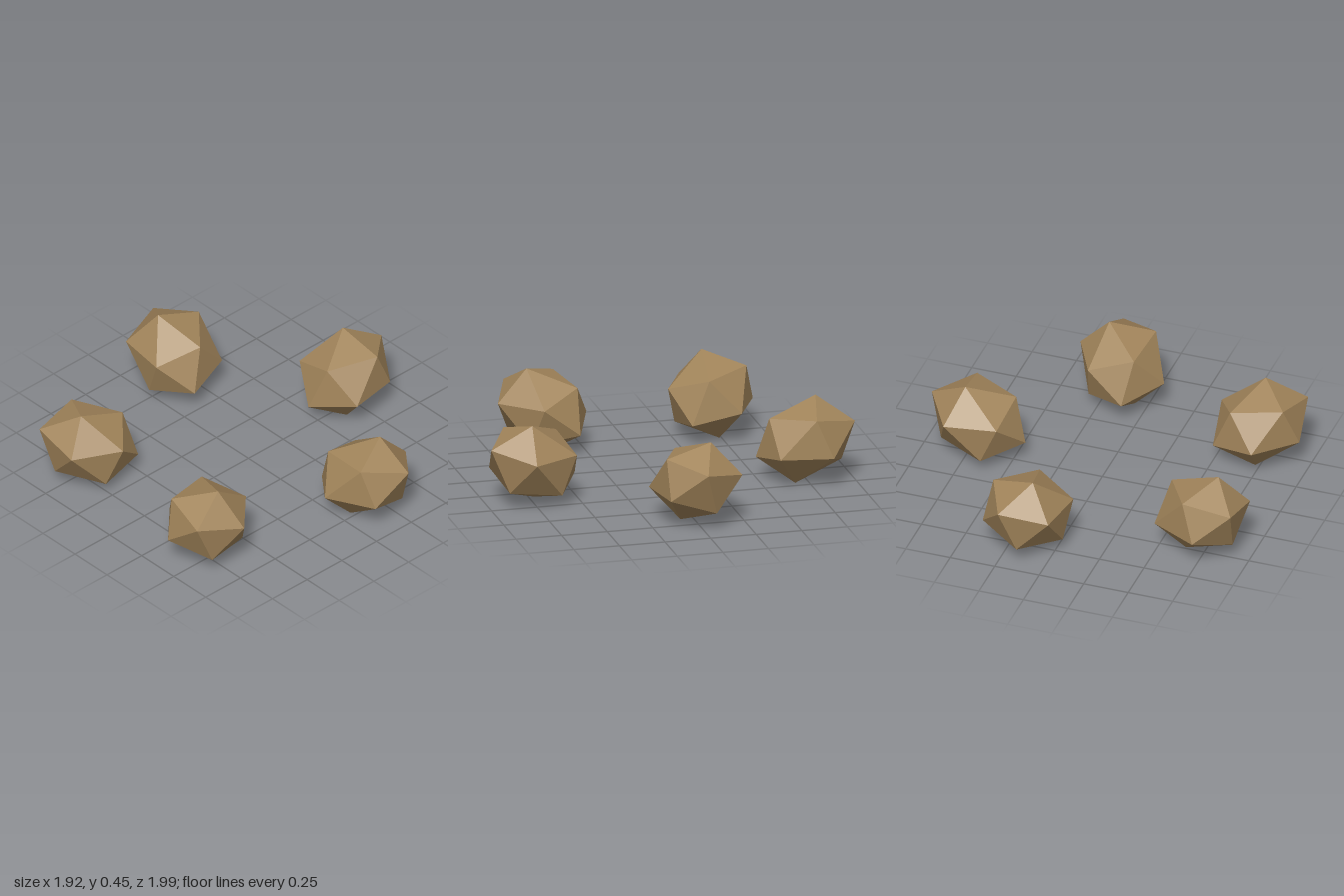
import * as THREE from 'three';
import { ConvexGeometry } from 'three/addons/geometries/ConvexGeometry.js';

const ROCK_COUNT = 5;
const RING_RADIUS = 0.785;
const RING_X = -0.09;
const HALF_HEIGHT = 0.224;

// A tilted, slightly stretched icosahedron, given by its six half-diagonals
const HALF_DIAGONALS = [
  [0.05, HALF_HEIGHT, -0.07],
  [-0.188, 0.129, 0.066],
  [0.071, 0.155, 0.177],
  [0.263, 0.105, 0],
  [-0.119, -0.052, 0.225],
  [0.162, -0.053, 0.178],
];

function rockGeometry() {
  const corners = HALF_DIAGONALS.flatMap((d) => {
    const corner = new THREE.Vector3(...d);
    return [corner, corner.clone().negate()];
  });
  return new ConvexGeometry(corners);
}

export function createModel() {
  const stone = new THREE.MeshStandardMaterial({ color: 0xa1845a });
  stone.name = 'brownStone';
  stone.flatShading = true;

  const model = new THREE.Group();
  model.name = 'rockRing';

  // Equal rocks turned around the ring
  const geometry = rockGeometry();
  for (let i = 0; i < ROCK_COUNT; i++) {
    const angle = (i / ROCK_COUNT) * Math.PI * 2;
    const rock = new THREE.Mesh(geometry, stone);
    rock.name = `rock${i + 1}`;
    rock.position.set(
      RING_X + Math.cos(angle) * RING_RADIUS,
      HALF_HEIGHT,
      Math.sin(angle) * RING_RADIUS
    );
    rock.rotation.y = -angle;
    model.add(rock);
  }
  return model;
}
